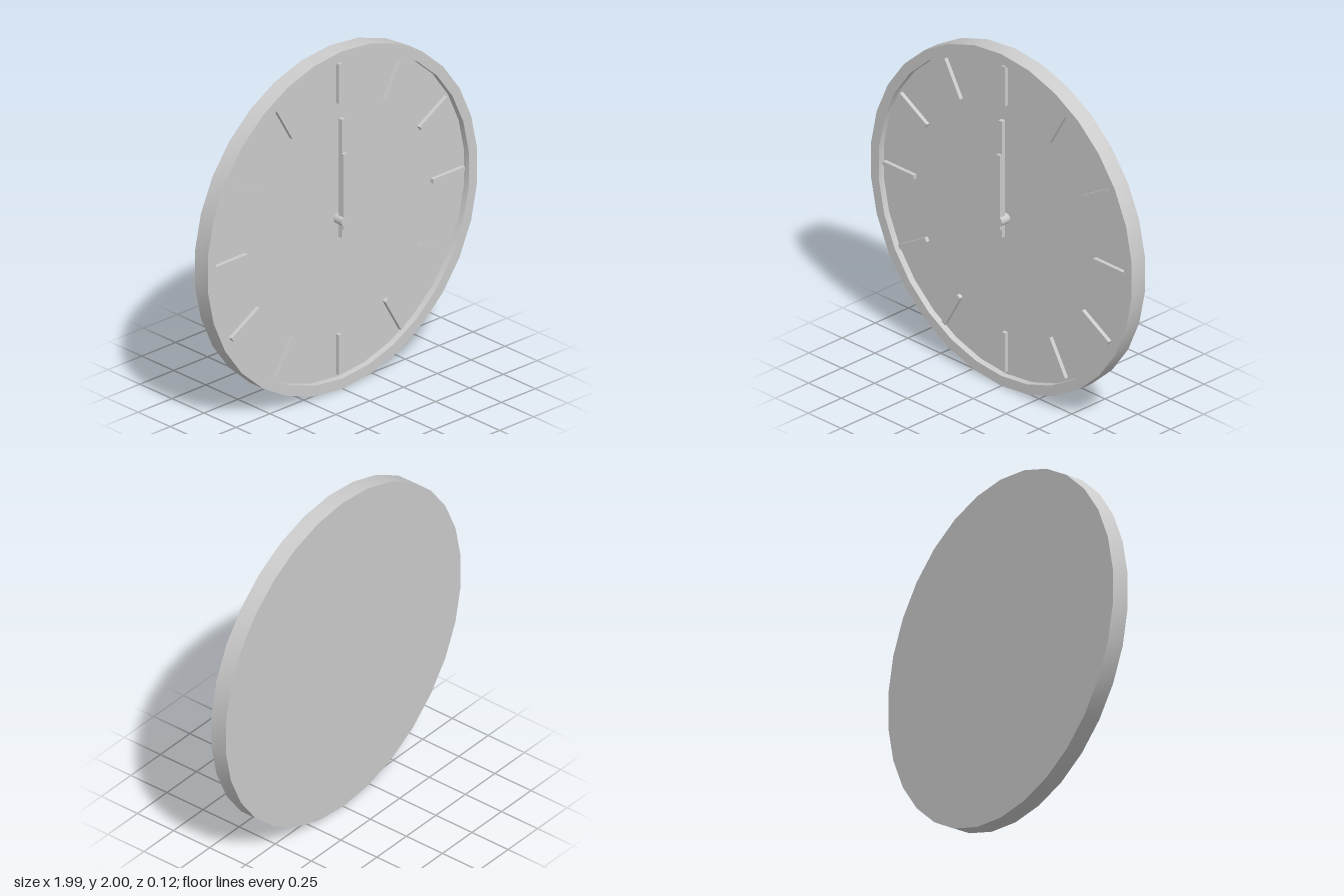
import * as THREE from 'three';
import { toCreasedNormals } from 'three/addons/utils/BufferGeometryUtils.js';

const grey = new THREE.MeshStandardMaterial({ color: 0xcccccc });
grey.name = 'plain grey';

const BACK = -0.0625, RIM = 0.0375, DIAL = 0, FRONT = 0.0625;

function add(parent, name, geometry) {
  const mesh = new THREE.Mesh(geometry, grey);
  mesh.name = name;
  parent.add(mesh);
  return mesh;
}

// Upright bar spanning y0..y1 and z0..z1
function bar(width, y0, y1, z0, z1) {
  return new THREE.BoxGeometry(width, y1 - y0, z1 - z0)
    .translate(0, (y0 + y1) / 2, (z0 + z1) / 2);
}

export function createModel() {
  const clock = new THREE.Group();
  clock.name = 'wallClock';
  clock.position.y = 1;

  // Case: flat back, 30-sided side wall, raised rim and recessed dial
  const profile = [
    [0, BACK], [1, BACK], [1, RIM], [0.94, RIM], [0.94, DIAL], [0, DIAL],
  ].map(([r, z]) => new THREE.Vector2(r, z));
  const body = new THREE.LatheGeometry(profile, 30).rotateX(Math.PI / 2);
  add(clock, 'case', toCreasedNormals(body, Math.PI / 6));

  // Twelve hour markers
  const markers = new THREE.Group();
  markers.name = 'hourMarkers';
  const markerShape = bar(0.026, 0.685, 0.92, DIAL - 0.005, 0.023);
  for (let i = 0; i < 12; i++) {
    add(markers, 'hourMarker', markerShape).rotation.z = -i * Math.PI / 6;
  }
  clock.add(markers);

  // Hands at twelve o'clock, stacked on the hub
  add(clock, 'minuteHand', bar(0.026, -0.1, 0.6, 0.022, 0.0465));
  add(clock, 'hourHand', bar(0.026, -0.05, 0.4, 0.0375, FRONT - 0.001));
  const hub = new THREE.CylinderGeometry(0.03, 0.03, FRONT - DIAL, 12)
    .rotateX(Math.PI / 2).translate(0, 0, (FRONT + DIAL) / 2);
  add(clock, 'hub', hub);

  const model = new THREE.Group();
  model.name = 'model';
  model.add(clock);
  return model;
}
